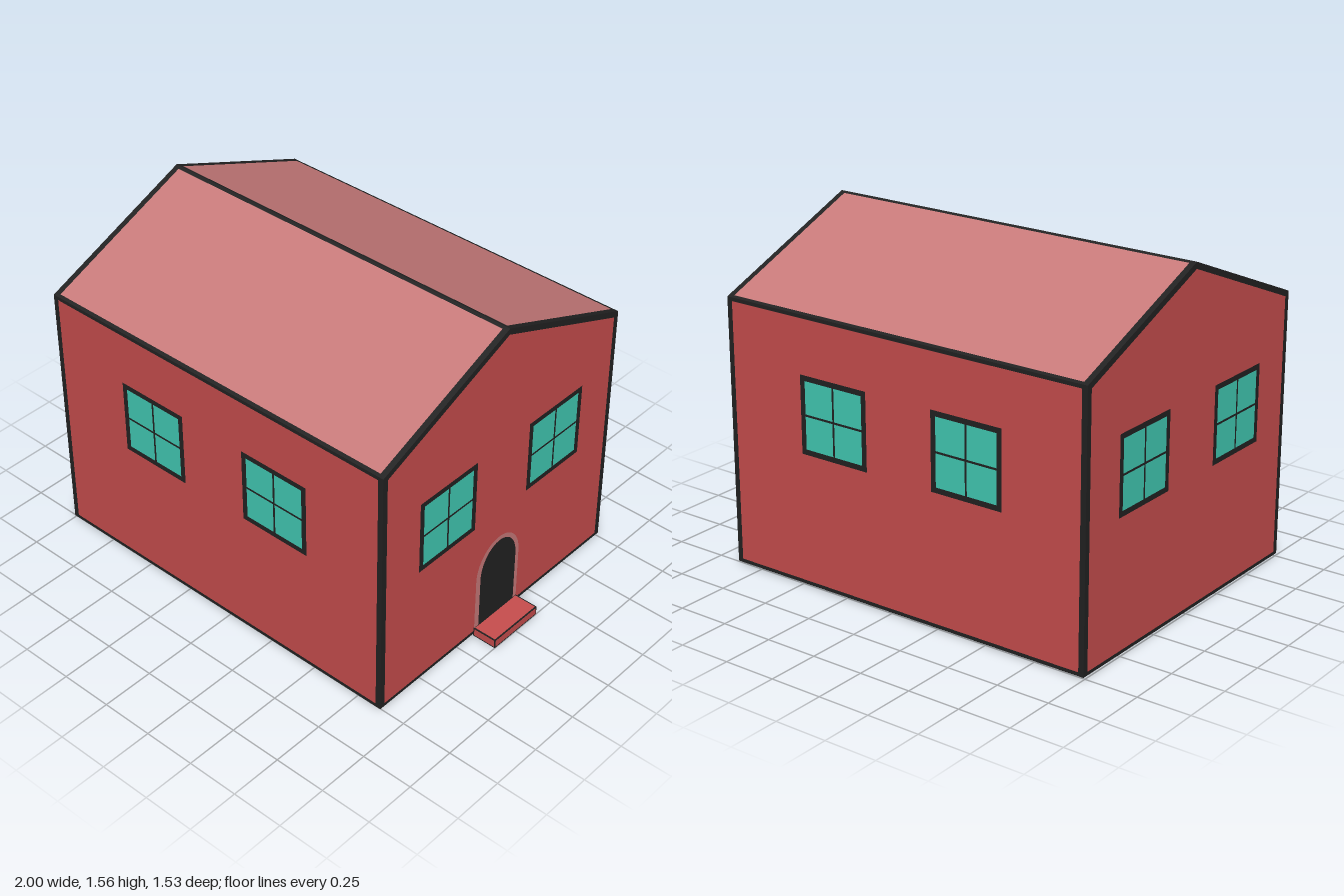
import * as THREE from 'three';

const X0 = -1, X1 = 0.88;               // gable planes
const CX = (X0 + X1) / 2, HX = (X1 - X0) / 2;
const HZ = 0.76, BASE = 0.01, EAVE = 1.25, RIDGE = 1.56;

const flat = (name, color) => {
  const m = new THREE.MeshStandardMaterial({ color, side: THREE.DoubleSide });
  m.name = name;
  return m;
};

export function createModel() {
  const red = flat('wallRed', 0xc94e4e);
  const pink = flat('roofPink', 0xc97b7b);
  const black = flat('outlineBlack', 0x222222);
  const teal = flat('glassTeal', 0x42cbb5);

  const points = (list) => list.map(([x, y]) => new THREE.Vector2(x, y));
  const rect = (x0, y0, x1, y1) => points([[x0, y0], [x1, y0], [x1, y1], [x0, y1]]);

  const mesh = (name, shape, material, z = 0) => {
    const m = new THREE.Mesh(new THREE.ShapeGeometry(shape, 16), material);
    m.name = name;
    m.position.z = z;
    return m;
  };

  // A face with a painted border around its fill, both in one plane
  const panel = (name, outer, inner, fill, edge = black) => {
    const g = new THREE.Group();
    g.name = name;
    const border = new THREE.Shape(outer);
    border.holes.push(new THREE.Path(inner));
    g.add(mesh(name + 'Border', border, edge), mesh(name + 'Fill', new THREE.Shape(inner), fill));
    return g;
  };
  const rectPanel = (name, w, h, bx, by, fill) =>
    panel(name, rect(-w / 2, 0, w / 2, h), rect(-w / 2 + bx, by, w / 2 - bx, h - by), fill);

  // Four-pane window lying just outside its wall
  const makeWindow = (x) => {
    const g = new THREE.Group();
    g.name = 'window';
    const s = 0.18, f = 0.155, bar = 0.005;
    const frame = new THREE.Shape(rect(-s, -s, s, s));
    for (const sx of [-1, 1]) for (const sy of [-1, 1]) {
      const pane = rect(Math.min(sx * bar, sx * f), Math.min(sy * bar, sy * f),
        Math.max(sx * bar, sx * f), Math.max(sy * bar, sy * f));
      frame.holes.push(new THREE.Path(pane));
      g.add(mesh('windowPane', new THREE.Shape(pane), teal));
    }
    g.add(mesh('windowFrame', frame, black));
    g.position.set(x, 0.803, 0.003);
    return g;
  };

  // Rounded-top doorway outline
  const arch = (half, bottom, spring, rise) => {
    const s = new THREE.Shape();
    s.moveTo(-half, bottom);
    s.lineTo(half, bottom);
    s.lineTo(half, spring);
    s.absellipse(0, spring, half, rise, 0, Math.PI, false);
    s.closePath();
    return s;
  };

  const house = new THREE.Group();
  house.name = 'house';

  // Long walls
  for (const side of [1, -1]) {
    const wall = rectPanel(side > 0 ? 'frontWall' : 'backWall', 2 * HX, EAVE - BASE, 0.026, 0.017, red);
    wall.children.forEach((c) => { c.position.y = BASE; });
    wall.add(makeWindow(-0.352), makeWindow(0.352));
    wall.position.set(CX, 0, side * HZ);
    wall.rotation.y = side > 0 ? 0 : Math.PI;
    house.add(wall);
  }

  // Gable walls
  const gable = (h, base, eave, ridge) => points([[-h, base], [h, base], [h, eave], [0, ridge], [-h, eave]]);
  for (const side of [1, -1]) {
    const wall = panel(side > 0 ? 'leftGable' : 'rightGable',
      gable(HZ, BASE, EAVE, RIDGE), gable(HZ - 0.027, 0.026, 1.231, RIDGE - 0.03), red);
    wall.add(makeWindow(-0.352), makeWindow(0.352));
    if (side > 0) {
      wall.add(mesh('doorFrame', arch(0.145, 0.02, 0.31, 0.165), pink, 0.003));
      wall.add(mesh('door', arch(0.12, 0.02, 0.31, 0.147), black, 0.006));
    }
    wall.position.x = side > 0 ? X1 : X0;
    wall.rotation.y = side * Math.PI / 2;
    house.add(wall);
  }

  // Roof slopes
  const rise = RIDGE - EAVE;
  for (const side of [1, -1]) {
    const slope = rectPanel(side > 0 ? 'frontRoof' : 'backRoof', 2 * HX, Math.hypot(rise, HZ), 0.027, 0.016, pink);
    slope.position.set(0, EAVE, HZ);
    slope.rotation.x = -Math.atan2(HZ, rise);
    const turn = new THREE.Group();
    turn.name = 'roofSlope';
    turn.position.x = CX;
    turn.rotation.y = side > 0 ? 0 : Math.PI;
    turn.add(slope);
    house.add(turn);
  }

  // Outlined doorstep
  const step = new THREE.Group();
  step.name = 'doorstep';
  const w = 1 - X1, h = 0.045, d = 0.29, e = 0.005;
  const addFace = (name, fw, fh, pos, rx, ry) => {
    const f = rectPanel(name, fw, fh, e, e, red);
    f.position.set(...pos);
    f.rotation.set(rx, ry, 0);
    step.add(f);
  };
  addFace('stepFront', d, h, [w / 2, 0, 0], 0, Math.PI / 2);
  addFace('stepSide', w, h, [0, 0, d / 2], 0, 0);
  addFace('stepSide', w, h, [0, 0, -d / 2], 0, Math.PI);
  addFace('stepTop', w, d, [0, h, d / 2], -Math.PI / 2, 0);
  addFace('stepBottom', w, d, [0, 0, -d / 2], Math.PI / 2, 0);
  step.position.x = X1 + w / 2;
  house.add(step);

  return house;
}
